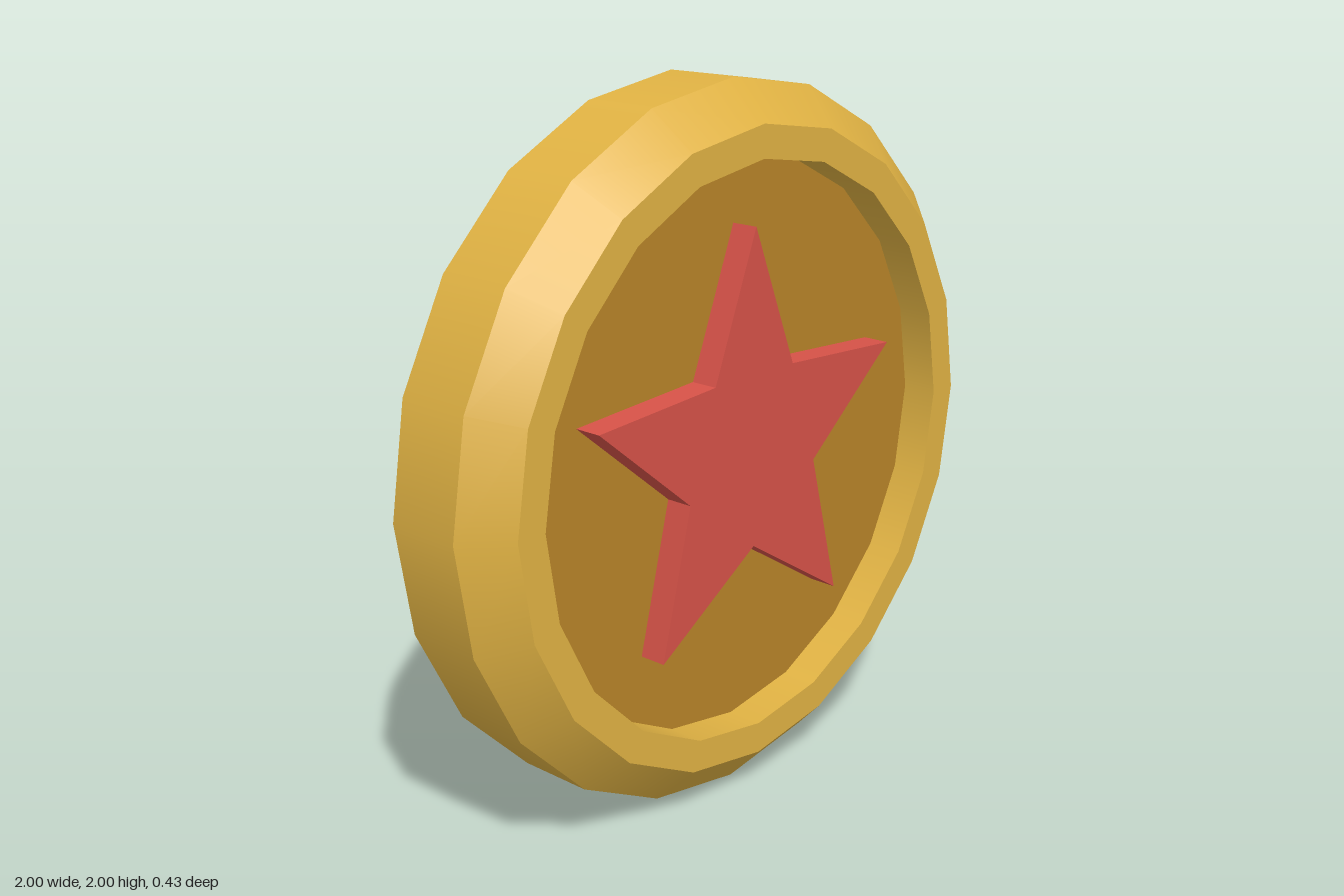
import * as THREE from 'three';
import { mergeGeometries } from 'three/addons/utils/BufferGeometryUtils.js';

const SIDES = 20;

// Each profile segment is its own lathe band: smooth around, sharp between bands.
function turned(profile) {
  const bands = [];
  for (let i = 0; i < profile.length - 1; i++) {
    const pts = [profile[i], profile[i + 1]].map(([r, z]) => new THREE.Vector2(r, z));
    bands.push(new THREE.LatheGeometry(pts, SIDES));
  }
  return mergeGeometries(bands).rotateX(Math.PI / 2);
}

function starShape(outer, inner) {
  const pts = [];
  for (let i = 0; i < 10; i++) {
    const r = i % 2 ? inner : outer;
    const a = Math.PI / 2 + (i * Math.PI) / 5;
    pts.push(new THREE.Vector2(r * Math.cos(a), r * Math.sin(a)));
  }
  return new THREE.Shape(pts);
}

export function createModel() {
  const group = new THREE.Group();
  group.name = 'coin';
  const gold = new THREE.MeshStandardMaterial({ color: 0xe0b243 });
  const darkGold = new THREE.MeshStandardMaterial({ color: 0xb88428 });
  const red = new THREE.MeshStandardMaterial({ color: 0xd65248 });

  const add = (name, geometry, material) => {
    const mesh = new THREE.Mesh(geometry, material);
    mesh.name = name;
    mesh.position.y = 1;
    group.add(mesh);
    return mesh;
  };

  // Bevelled rim with its inner walls
  add('rim', turned([
    [0.8, -0.11], [0.8, -0.215], [0.89, -0.215], [1, -0.11],
    [1, 0.11], [0.89, 0.215], [0.8, 0.215], [0.8, 0.11],
  ]), gold);

  // Recessed face and raised star on both sides
  const face = turned([[0.8, 0.11], [0, 0.11]]);
  const star = new THREE.ExtrudeGeometry(starShape(0.62, 0.27), { depth: 0.08, bevelEnabled: false });
  star.translate(0, 0, 0.11);
  for (const [side, turn] of [['front', 0], ['back', Math.PI]]) {
    add(side + 'Face', face, darkGold).rotation.y = turn;
    add(side + 'Star', star, red).rotation.y = turn;
  }
  return group;
}
